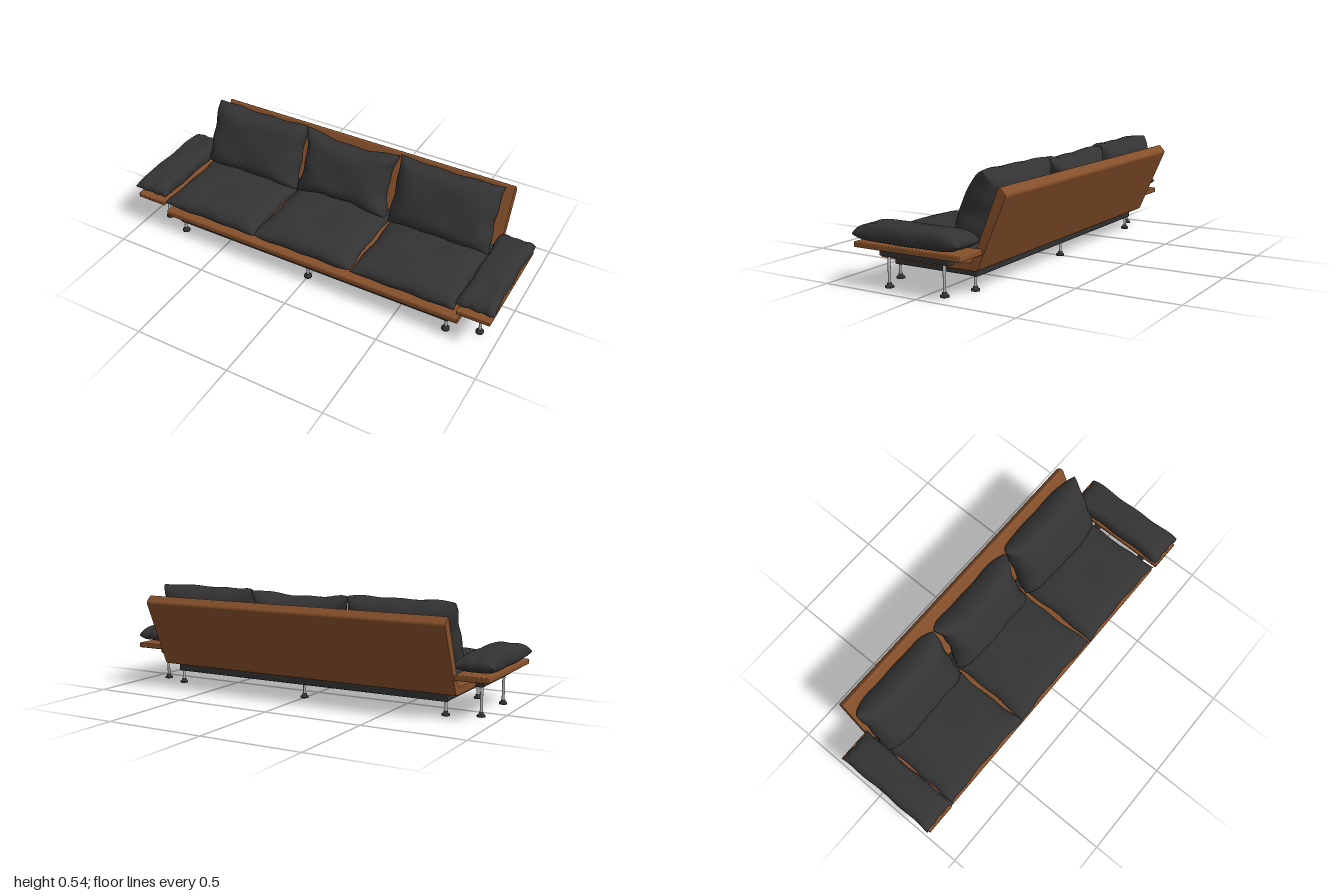
import * as THREE from 'three';
import { mergeVertices } from 'three/addons/utils/BufferGeometryUtils.js';
import { RoundedBoxGeometry } from 'three/addons/geometries/RoundedBoxGeometry.js';

const mat = (name, color) => {
  const m = new THREE.MeshStandardMaterial({ color });
  m.name = name;
  return m;
};

// Soft cushion: a box puffed into two domed sheets that meet at a seam.
// w, l: half width and length; up, down: bulge either side of the seam;
// pinchW, pinchL: how far the sides draw in between the corners.
function cushionGeometry({ w, l, up, down, pinchW = 0.05, pinchL = 0.04, taper = 0, edge = 6, dome = 0.12, seed = 0 }) {
  const g = new THREE.BoxGeometry(2, 2, 2, 30, 1, 30);
  g.deleteAttribute('uv');
  g.deleteAttribute('normal');
  const p = g.attributes.position;
  for (let i = 0; i < p.count; i++) {
    const u = Math.sin(p.getX(i) * Math.PI / 2);
    const v = Math.sin(p.getZ(i) * Math.PI / 2);
    const top = p.getY(i) > 0;
    const puff = Math.sqrt(Math.max(0, (1 - u ** edge) * (1 - v ** edge))) * (1 - dome * (u * u + v * v) / 2);
    const wrinkle = 1 + 0.05 * Math.sin(5 * u + seed) * Math.sin(4 * v + 2 * seed);
    const h = top ? up * (1 + taper * v) * wrinkle : -down;
    const x = u * w * (1 - pinchW * (1 - v * v)) + 0.003 * u * Math.sin(8 * v + seed);
    const z = v * l * (1 - pinchL * (1 - u * u)) + 0.003 * v * Math.sin(9 * u + seed);
    p.setXYZ(i, x, h * puff, z);
  }
  const merged = mergeVertices(g, 1e-5);
  merged.computeVertexNormals();
  return merged;
}

// Seat and sloping back as one bent board, extruded along x
function shellGeometry(width) {
  const b = 0.004;
  const s = new THREE.Shape();
  s.moveTo(-0.318, 0.111);
  s.lineTo(0.185, 0.111);
  s.quadraticCurveTo(0.195, 0.111, 0.2, 0.122);
  s.lineTo(0.339, 0.44);
  s.quadraticCurveTo(0.343, 0.448, 0.337, 0.455);
  s.lineTo(0.318, 0.476);
  s.quadraticCurveTo(0.311, 0.482, 0.307, 0.472);
  s.lineTo(0.183, 0.17);
  s.quadraticCurveTo(0.172, 0.139, 0.15, 0.139);
  s.lineTo(-0.318, 0.139);
  s.quadraticCurveTo(-0.325, 0.139, -0.325, 0.132);
  s.lineTo(-0.325, 0.118);
  s.quadraticCurveTo(-0.325, 0.111, -0.318, 0.111);
  const g = new THREE.ExtrudeGeometry(s, {
    depth: width - 2 * b, bevelEnabled: true, bevelSize: b, bevelThickness: b, bevelSegments: 2, curveSegments: 6,
  });
  g.translate(0, 0, -(width - 2 * b) / 2);
  g.rotateY(Math.PI / 2);
  return g;
}

export function createModel() {
  const root = new THREE.Group();
  root.name = 'sofa';
  const wood = mat('brown wood', 0x854f2a);
  const fabric = mat('charcoal fabric', 0x333333);
  const frame = mat('dark frame', 0x303030);
  const metal = mat('brushed metal', 0xb8b8b8);

  const add = (name, geometry, material, x = 0, y = 0, z = 0) => {
    const m = new THREE.Mesh(geometry, material);
    m.name = name;
    m.position.set(x, y, z);
    root.add(m);
    return m;
  };
  const bar = (name, material, w, h, d, x, y, z) =>
    add(name, new RoundedBoxGeometry(w, h, d, 2, 0.005), material, x, y, z);

  add('shell', shellGeometry(1.655), wood);

  // Base frame: two long rails and three cross rails
  for (const z of [0.275, -0.14]) bar('longRail', frame, 1.54, 0.04, 0.04, 0, 0.087, z);
  for (const x of [-0.75, 0, 0.75]) bar('crossRail', frame, 0.04, 0.038, 0.4, x, 0.087, 0.0675);

  // Legs with flared feet
  const footGeometry = new THREE.LatheGeometry(
    [[0, 0], [0.02, 0], [0.02, 0.008], [0.011, 0.014], [0.011, 0.021], [0, 0.021]].map(([r, y]) => new THREE.Vector2(r, y)), 20);
  footGeometry.computeVertexNormals();
  const leg = (x, z, height) => {
    add('leg', new THREE.CylinderGeometry(0.007, 0.007, height - 0.018, 16), metal, x, (height + 0.018) / 2, z);
    add('foot', footGeometry, frame, x, 0, z);
  };
  for (const x of [-0.755, 0, 0.755]) for (const z of [0.275, -0.14]) leg(x, z, 0.07);

  // Side tables with support bar, legs and cushion
  for (const side of [-1, 1]) {
    bar('armBoard', wood, 0.165, 0.026, 0.57, side * 0.905, 0.197, 0.06);
    bar('armSupport', frame, 0.04, 0.042, 0.375, side * 0.905, 0.164, 0.0675);
    for (const z of [0.217, -0.083]) leg(side * 0.905, z, 0.148);
    add('armCushion', cushionGeometry({
      w: 0.093, l: 0.278, up: 0.053, down: 0.038, pinchW: 0.08, pinchL: 0.02, edge: 8, dome: 0.25, seed: side,
    }), fabric, side * 0.906, 0.248, 0.066);
  }

  // Three seat cushions and three leaning back cushions
  [-0.548, -0.008, 0.538].forEach((x, i) => {
    add('seatCushion', cushionGeometry({
      w: 0.273, l: 0.256, up: 0.06, down: 0.057, pinchW: 0.05, pinchL: 0.04, seed: i * 2.1,
    }), fabric, x, 0.2, 0.08);
    const middle = i === 1;
    const back = add('backCushion', cushionGeometry({
      w: middle ? 0.265 : 0.274, l: 0.174, up: 0.098, down: 0.095, taper: 0.1,
      pinchW: middle ? 0.12 : 0.04, pinchL: middle ? 0.2 : 0.07, seed: i * 1.7 + 0.5,
    }), fabric, x - 0.005, 0.372, -0.152);
    back.rotation.x = 1.173;
  });

  return root;
}
